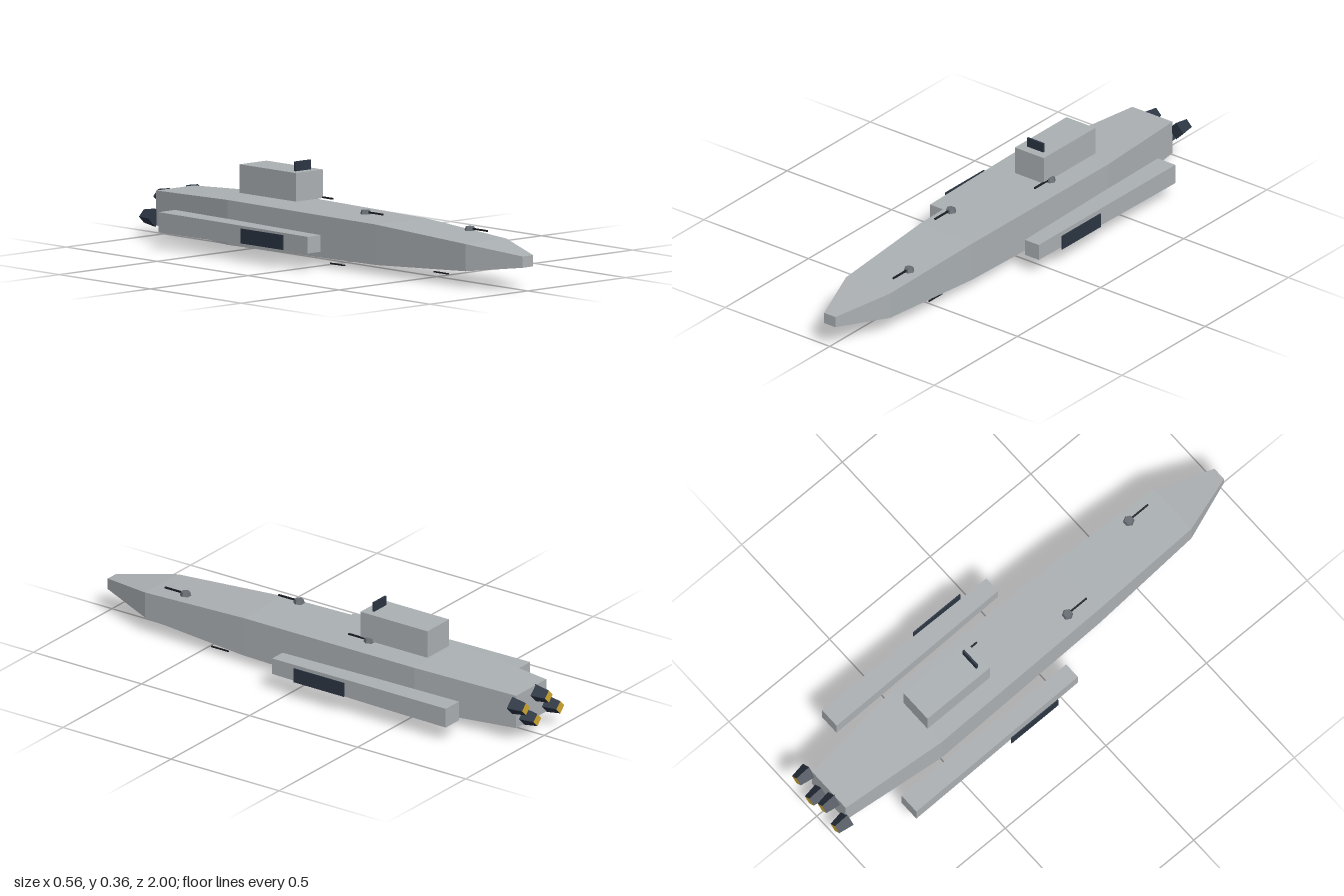
import * as THREE from 'three';

const paint = (name, color) => {
  const m = new THREE.MeshStandardMaterial({ color });
  m.name = name;
  return m;
};

export function createModel() {
  const model = new THREE.Group();
  model.name = 'spaceship';
  const hullGrey = paint('hull grey', 0xabb0b3);
  const turretGrey = paint('turret grey', 0x666c72);
  const navy = paint('dark navy', 0x2b3543);
  const gunBlack = paint('gun black', 0x1b1e24);
  const glow = paint('engine yellow', 0xd0a830);

  const add = (name, geo, mat, x = 0, y = 0, z = 0, parent = model) => {
    const mesh = new THREE.Mesh(geo, mat);
    mesh.name = name;
    mesh.position.set(x, y, z);
    parent.add(mesh);
    return mesh;
  };

  // Faceted copy of a geometry
  const faceted = (geo) => {
    const flat = geo.toNonIndexed();
    flat.computeVertexNormals();
    return flat;
  };

  // Rectangular cross-sections [z, halfWidth, bottom, top], listed front to back
  const loft = (stations) => {
    const pos = [], idx = [];
    for (const [z, w, lo, hi] of stations) pos.push(w, hi, z, -w, hi, z, -w, lo, z, w, lo, z);
    for (let s = 0; s < stations.length - 1; s++) {
      for (let i = 0; i < 4; i++) {
        const a = s * 4 + i, d = s * 4 + (i + 1) % 4, b = a + 4, c = d + 4;
        idx.push(a, b, c, a, c, d);
      }
    }
    const e = (stations.length - 1) * 4;
    idx.push(0, 1, 2, 0, 2, 3, e, e + 2, e + 1, e, e + 3, e + 2);
    const geo = new THREE.BufferGeometry();
    geo.setAttribute('position', new THREE.Float32BufferAttribute(pos, 3));
    geo.setIndex(idx);
    return faceted(geo);
  };

  // Main hull
  add('hull', loft([
    [1, 0.027, 0.09, 0.133],
    [0.77, 0.105, 0.06, 0.163],
    [0.3, 0.126, 0.035, 0.188],
    [-0.5, 0.139, 0.026, 0.196],
    [-0.94, 0.096, 0.048, 0.18],
  ]), hullGrey);

  // Bridge block with sensor panel
  add('bridge', new THREE.BoxGeometry(0.138, 0.108, 0.31), hullGrey, 0, 0.269, -0.355);
  add('sensorPanel', new THREE.BoxGeometry(0.078, 0.037, 0.008), navy, 0, 0.341, -0.238);

  // Side pods and their outboard plates
  const podGeo = loft([
    [0.07, 0.033, 0.067, 0.13],
    [-0.4, 0.039, 0.062, 0.135],
    [-0.74, 0.042, 0.06, 0.137],
  ]);
  for (const side of [1, -1]) {
    const name = side > 0 ? 'left' : 'right';
    add(name + 'Pod', podGeo, hullGrey, side * 0.227);
    add(name + 'HangarPlate', new THREE.BoxGeometry(0.004, 0.056, 0.232), navy, side * 0.279, 0.098, -0.161);
  }

  // Deck turrets: tapered hexagonal base and forward barrel
  const baseGeo = faceted(new THREE.CylinderGeometry(0.017, 0.022, 0.015, 6).rotateY(Math.PI / 6));
  const barrelGeo = new THREE.BoxGeometry(0.006, 0.006, 0.095);
  for (const [x, y, z] of [[0.068, 0.188, 0.61], [-0.07, 0.218, 0.185], [0.068, 0.218, -0.24]]) {
    const turret = new THREE.Group();
    turret.name = 'turret';
    turret.position.set(x, y, z);
    add('turretBase', baseGeo, turretGrey, 0, 0, 0, turret);
    add('turretBarrel', barrelGeo, gunBlack, 0, 0, 0.0475, turret);
    model.add(turret);
  }

  // Belly guns, staggered left and right
  const bellyGeo = new THREE.BoxGeometry(0.005, 0.005, 0.08);
  for (const [x, z] of [[0.068, 0.45], [-0.07, 0.03], [0.068, -0.4]]) {
    add('bellyGun', bellyGeo, gunBlack, x, 0.0025, z);
  }

  // Four-sided engine bells, alternating high and low, with glowing ends
  const bellGeo = faceted(new THREE.CylinderGeometry(0.025, 0.035, 0.063, 4).rotateX(-Math.PI / 2));
  for (let i = 0; i < 4; i++) {
    add('engineBell', bellGeo, [navy, glow, navy], 0.116 - i * 0.073, i % 2 ? 0.078 : 0.148, -0.9685);
  }

  return model;
}
